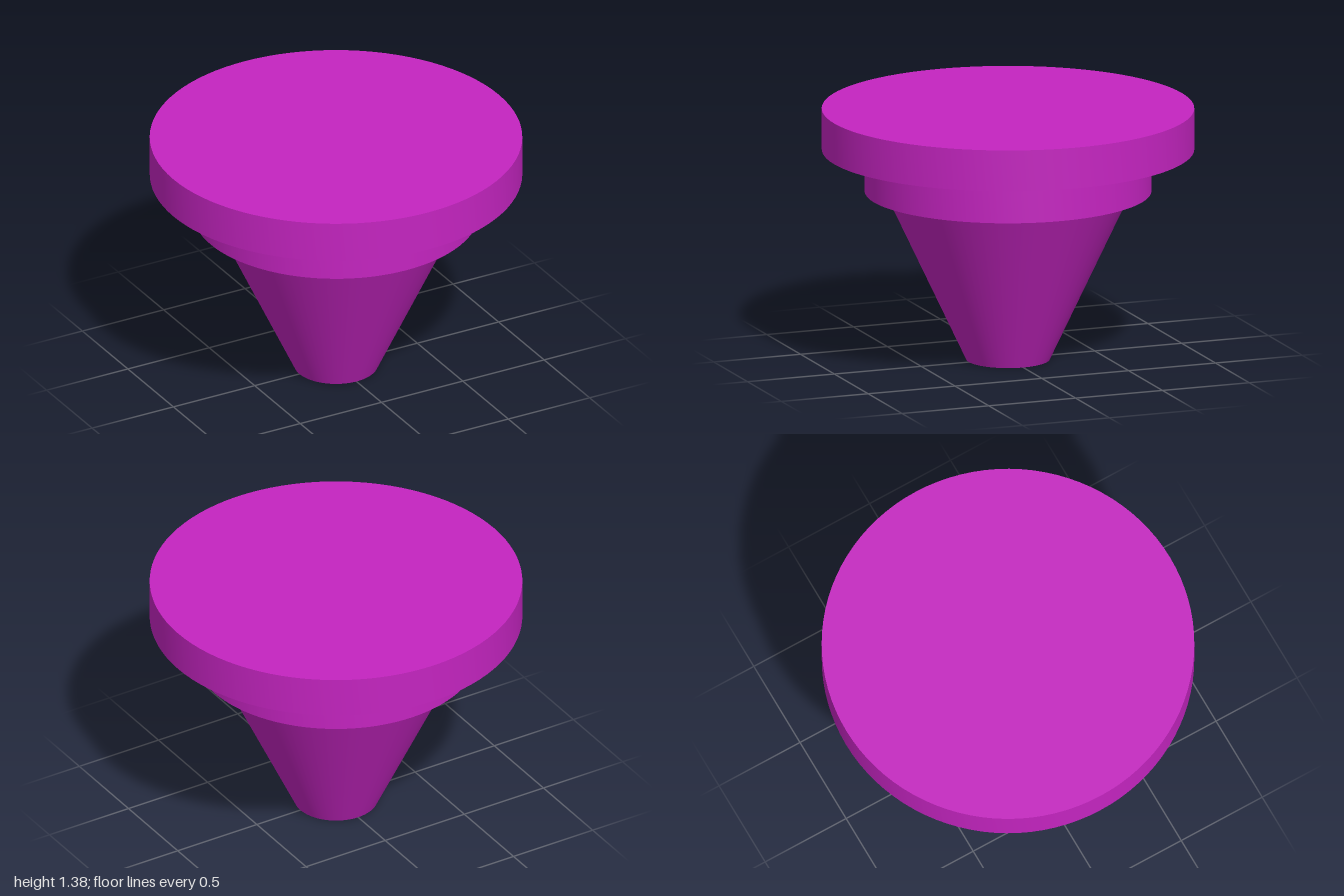
import * as THREE from 'three';
import { toCreasedNormals } from 'three/addons/utils/BufferGeometryUtils.js';

const SEGMENTS = 96;

export function createModel() {
  const model = new THREE.Group();
  model.name = 'steppedPeg';
  const material = new THREE.MeshStandardMaterial({ color: 0xc424c0 });

  // Revolve a [radius, height] profile, listed from bottom to top, with sharp rims
  const addTurned = (name, profile) => {
    const points = profile.map(([r, y]) => new THREE.Vector2(r, y));
    const geometry = toCreasedNormals(new THREE.LatheGeometry(points, SEGMENTS), Math.PI / 6);
    const mesh = new THREE.Mesh(geometry, material);
    mesh.name = name;
    model.add(mesh);
  };

  // Tapered stem with a flat closed tip
  addTurned('taperedStem', [[0, 0], [0.225, 0], [0.66, 0.925]]);
  // Collar: underside ledge and straight wall
  addTurned('collar', [[0.66, 0.925], [0.77, 0.925], [0.77, 1.155]]);
  // Wide head: underside ledge, rim and flat top
  addTurned('headDisc', [[0.77, 1.155], [1, 1.155], [1, 1.38], [0, 1.38]]);

  return model;
}
